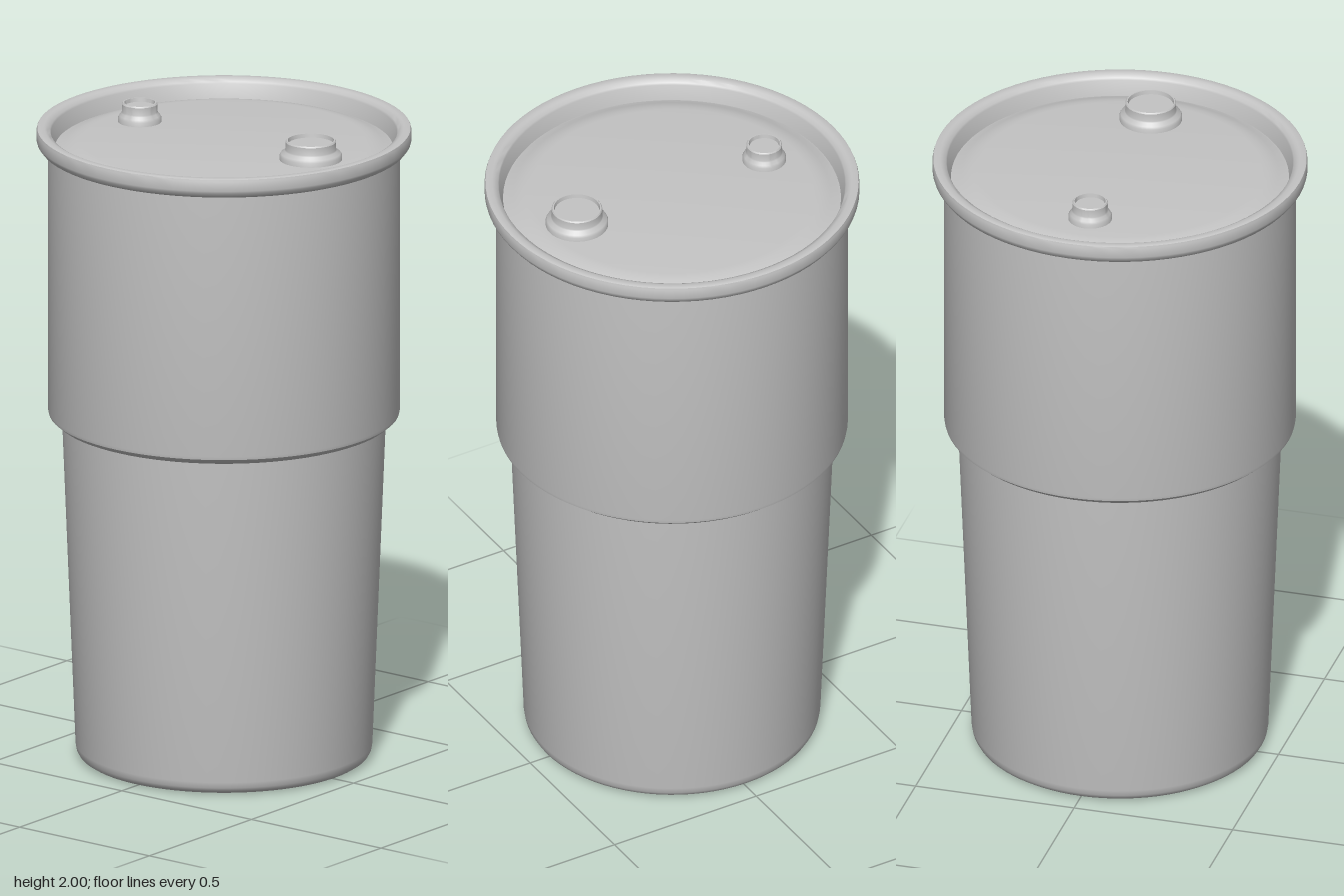
import * as THREE from 'three';
import { toCreasedNormals } from 'three/addons/utils/BufferGeometryUtils.js';

const steel = new THREE.MeshStandardMaterial({ color: 0xc4c4c4 });
steel.name = 'grey steel';

// Turned part from [radius, height] pairs, listed from bottom to top along the outside
function turned(name, profile, segments) {
  const points = profile.map(([r, y]) => new THREE.Vector2(r, y));
  const geometry = toCreasedNormals(new THREE.LatheGeometry(points, segments), 0.55);
  const mesh = new THREE.Mesh(geometry, steel);
  mesh.name = name;
  return mesh;
}

// Screw plug: flange, sloped shoulder, collar and shallow recessed cap
function plug(name, flange, collar, z) {
  const mesh = turned(name, [
    [flange, 1.925], [flange, 1.953], [flange - 0.004, 1.96],
    [collar + 0.002, 1.968], [collar, 1.972], [collar, 1.996], [collar - 0.003, 2],
    [collar - 0.007, 2], [collar - 0.009, 1.988], [0, 1.988],
  ], 40);
  mesh.position.z = z;
  return mesh;
}

export function createModel() {
  const drum = new THREE.Group();
  drum.name = 'drum';

  // Tapered lower shell with a rounded foot
  drum.add(turned('lowerShell', [
    [0, 0], [0.41, 0], [0.428, 0.004], [0.44, 0.012], [0.447, 0.024], [0.45, 0.042],
    [0.491, 1.066],
  ], 80));

  // Wider upper shell with a chamfered step
  drum.add(turned('upperShell', [
    [0.488, 1.064], [0.502, 1.064], [0.512, 1.068], [0.531, 1.084], [0.533, 1.094],
    [0.533, 1.925],
  ], 80));

  // Rolled rim, turned over into the recess
  drum.add(turned('rim', [
    [0.53, 1.918], [0.549, 1.918], [0.556, 1.922], [0.566, 1.935], [0.568, 1.942],
    [0.568, 1.972], [0.566, 1.978], [0.561, 1.98], [0.545, 1.98], [0.538, 1.977],
    [0.527, 1.97], [0.524, 1.964], [0.512, 1.916],
  ], 80));

  // Lid, slightly raised inside its edge groove
  drum.add(turned('lid', [
    [0.514, 1.916], [0.505, 1.918], [0.48, 1.93], [0.45, 1.938], [0.43, 1.94], [0, 1.94],
  ], 80));

  // Large and small bungs
  drum.add(plug('largeBung', 0.095, 0.077, 0.335));
  drum.add(plug('smallBung', 0.066, 0.054, -0.325));
  return drum;
}
